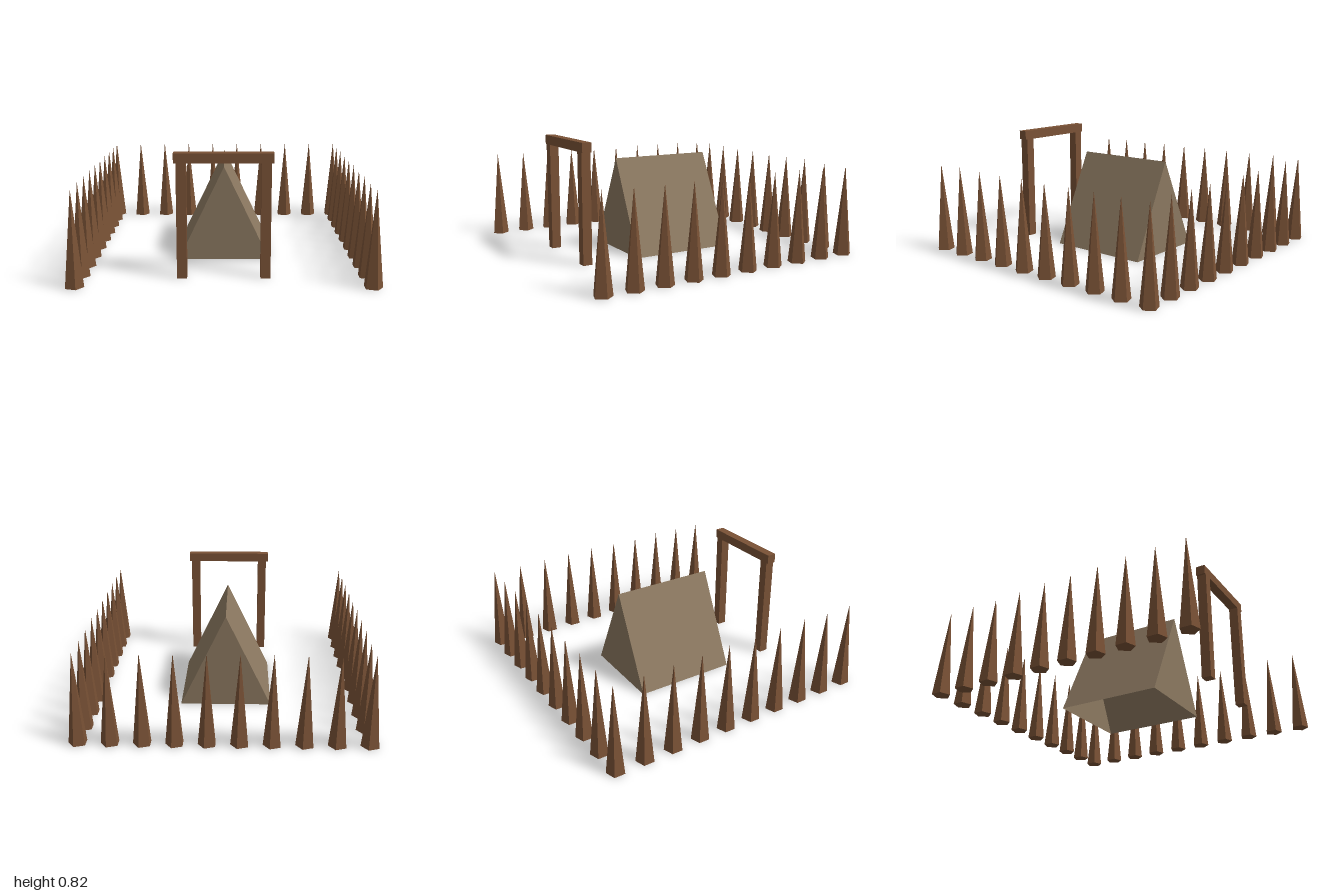
import * as THREE from 'three';

export function createModel() {
  const model = new THREE.Group();
  const wood = new THREE.MeshStandardMaterial({ name: 'brown wood', color: 0x7a5236, flatShading: true });
  const canvas = new THREE.MeshStandardMaterial({
    name: 'tan canvas', color: 0x8b7860, flatShading: true, side: THREE.DoubleSide,
  });
  const cx = -0.007; // shared centre line of camp, gate and tent

  function add(parent, name, geometry, material, x, y, z) {
    const mesh = new THREE.Mesh(geometry, material);
    mesh.name = name;
    mesh.position.set(x, y, z);
    parent.add(mesh);
    return mesh;
  }

  // Palisade: five-sided stakes along the back and both sides, front left open
  const palisade = new THREE.Group();
  palisade.name = 'palisade';
  model.add(palisade);
  const count = 10, half = 0.94, height = 0.63;
  const stakeGeometry = new THREE.ConeGeometry(0.063, height, 5);
  stakeGeometry.rotateY(Math.PI / 2);
  for (let i = 0; i < count; i++) {
    const t = -half + (2 * half * i) / (count - 1);
    add(palisade, 'backStake', stakeGeometry, wood, cx + t, height / 2, -half);
    if (i === 0) continue; // corners belong to the back row
    for (const side of [-1, 1]) {
      add(palisade, 'sideStake', stakeGeometry, wood, cx + side * half, height / 2, t);
    }
  }

  // Gate: two posts carrying a beam
  const gate = new THREE.Group();
  gate.name = 'gate';
  model.add(gate);
  const gateZ = 0.743, thick = 0.065, postHeight = 0.76;
  for (const side of [-1, 1]) {
    add(gate, 'gatePost', new THREE.BoxGeometry(thick, postHeight, thick), wood,
      cx + side * 0.272, postHeight / 2, gateZ);
  }
  add(gate, 'gateBeam', new THREE.BoxGeometry(0.64, thick, thick), wood,
    cx, postHeight + thick / 2, gateZ);

  // Tent: ridge prism with closed ends and no floor
  const w = 0.32, h = 0.664, d = 0.372;
  const tentGeometry = new THREE.BufferGeometry();
  tentGeometry.setAttribute('position', new THREE.Float32BufferAttribute([
    -w, 0, d, w, 0, d, 0, h, d, // front corners and ridge end
    -w, 0, -d, w, 0, -d, 0, h, -d, // back corners and ridge end
  ], 3));
  tentGeometry.setIndex([
    0, 1, 2, 4, 3, 5, // end walls
    1, 4, 5, 1, 5, 2, // left slope
    3, 0, 2, 3, 2, 5, // right slope
  ]);
  const flatTent = tentGeometry.toNonIndexed();
  flatTent.computeVertexNormals();
  add(model, 'tent', flatTent, canvas, cx, 0, 0);

  return model;
}
